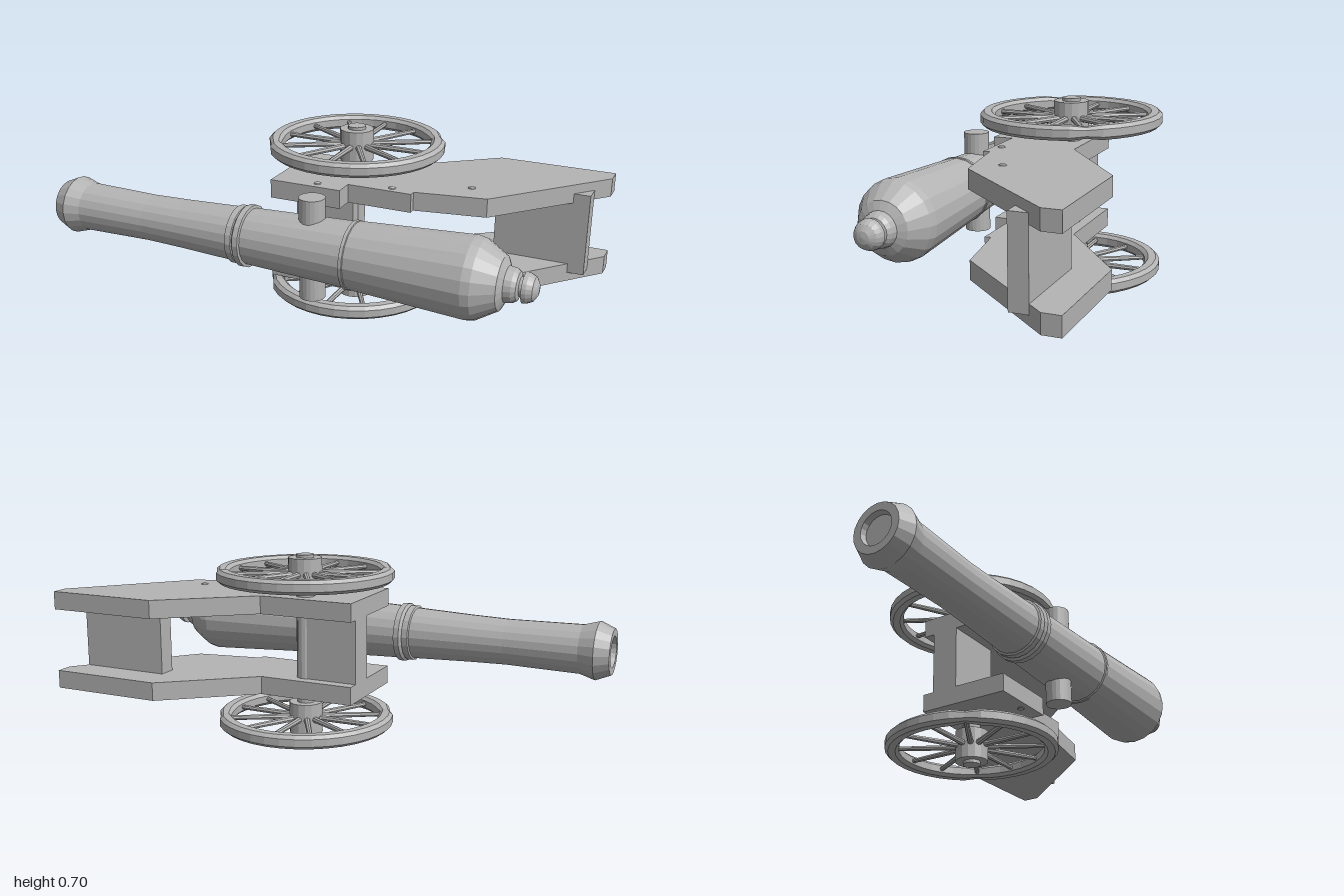
import * as THREE from 'three';

export function createModel() {
  const group = new THREE.Group();
  const grey = new THREE.MeshStandardMaterial({ color: 0xb4b4b4, flatShading: true });
  grey.name = 'plain grey';

  const add = (name, geometry, x, y, z, parent = group) => {
    const mesh = new THREE.Mesh(geometry, grey);
    mesh.name = name;
    mesh.position.set(x, y, z);
    parent.add(mesh);
    return mesh;
  };
  const lathe = (points, sides) =>
    new THREE.LatheGeometry(points.map(p => new THREE.Vector2(p[0], p[1])), sides);

  const midY = 0.352, axleX = 0.08, axleZ = -0.105, barrelZ = 0.286;

  // Barrel: radius, position along x, from muzzle to breech and knob
  const barrel = lathe([
    [0, -0.98], [0.055, -0.98], [0.06, -1], [0.088, -1], [0.112, -0.945], [0.094, -0.885],
    [0.089, -0.6], [0.093, -0.45], [0.102, -0.225], [0.11, -0.222], [0.11, -0.198],
    [0.104, -0.196], [0.117, -0.187], [0.117, -0.165], [0.106, -0.163], [0.121, 0.235],
    [0.127, 0.237], [0.127, 0.25], [0.124, 0.252], [0.147, 0.68], [0.141, 0.71],
    [0.095, 0.785], [0.064, 0.8], [0.06, 0.825], [0.05, 0.84], [0.034, 0.845],
    [0.034, 0.855], [0.054, 0.858], [0.052, 0.873], [0.042, 0.893], [0.022, 0.905], [0, 0.908],
  ], 20);
  barrel.rotateZ(-Math.PI / 2);
  add('barrel', barrel, 0, midY, barrelZ);
  add('trunnions', new THREE.CylinderGeometry(0.048, 0.048, 0.385, 20), axleX, midY, barrelZ);

  // Carriage cheeks, drawn in x and z with stepped edge under the barrel
  const outline = [
    [-0.14, -0.176], [0.235, -0.176], [0.56, -0.432], [1, -0.432], [1, -0.365], [0.645, 0.04],
    [0.385, 0.085], [0.385, 0.11], [0.14, 0.11], [0.14, 0.183], [-0.14, 0.183],
  ];
  const cheek = new THREE.ExtrudeGeometry(
    new THREE.Shape(outline.map(p => new THREE.Vector2(p[0], p[1]))),
    { depth: 0.07, bevelEnabled: false });
  cheek.rotateX(Math.PI / 2);
  const bolt = new THREE.SphereGeometry(0.014, 10, 6).scale(1, 0.5, 1);
  for (const [side, top, face] of [['upper', 0.544, 0.544], ['lower', 0.23, 0.16]]) {
    add(side + 'Cheek', cheek, 0, top, 0);
    for (const [x, z] of [[0.035, 0.148], [0.3, 0.078], [0.56, -0.046]])
      add(side + 'Bolt', bolt, x, face, z);
  }

  // Cross pieces between the cheeks
  add('axleBlock', new THREE.BoxGeometry(0.24, 0.26, 0.105), -0.02, midY, -0.08);
  add('rearTransom', new THREE.BoxGeometry(0.35, 0.315, 0.069), 0.775, midY, -0.2725);
  add('axle', new THREE.CylinderGeometry(0.034, 0.034, 0.703, 16), axleX, 0.3515, axleZ);

  // Wheel rim with an eight-sided section, pinched at its two joints
  const rim = lathe([
    [0.294, -0.026], [0.322, -0.026], [0.335, -0.014], [0.335, 0.014], [0.322, 0.026],
    [0.294, 0.026], [0.281, 0.014], [0.281, -0.014], [0.294, -0.026],
  ], 36);
  const pos = rim.attributes.position;
  for (let i = 0; i < pos.count; i++) {
    const r = Math.hypot(pos.getX(i), pos.getZ(i));
    const angle = Math.atan2(pos.getX(i), pos.getZ(i));
    if (Math.abs(Math.sin(angle - Math.PI * 2 / 3)) < 0.02) {
      const k = (0.308 + (r - 0.308) * 0.7) / r;
      pos.setXYZ(i, pos.getX(i) * k, pos.getY(i) * 0.75, pos.getZ(i) * k);
    }
  }
  rim.computeVertexNormals();

  const hub = new THREE.CylinderGeometry(0.064, 0.064, 0.121, 16);
  const spoke = new THREE.CylinderGeometry(0.009, 0.012, 0.245, 8);
  spoke.rotateZ(-Math.PI / 2).translate(0.17, 0, 0);
  for (const [name, y] of [['upperWheel', 0.631], ['lowerWheel', 0.073]]) {
    const wheel = new THREE.Group();
    wheel.name = name;
    wheel.position.set(axleX, y, axleZ);
    add('rim', rim, 0, 0, 0, wheel);
    add('hub', hub, 0, 0, 0, wheel);
    for (let i = 0; i < 12; i++)
      add('spoke', spoke, 0, 0, 0, wheel).rotation.y = i * Math.PI / 6;
    group.add(wheel);
  }
  return group;
}
